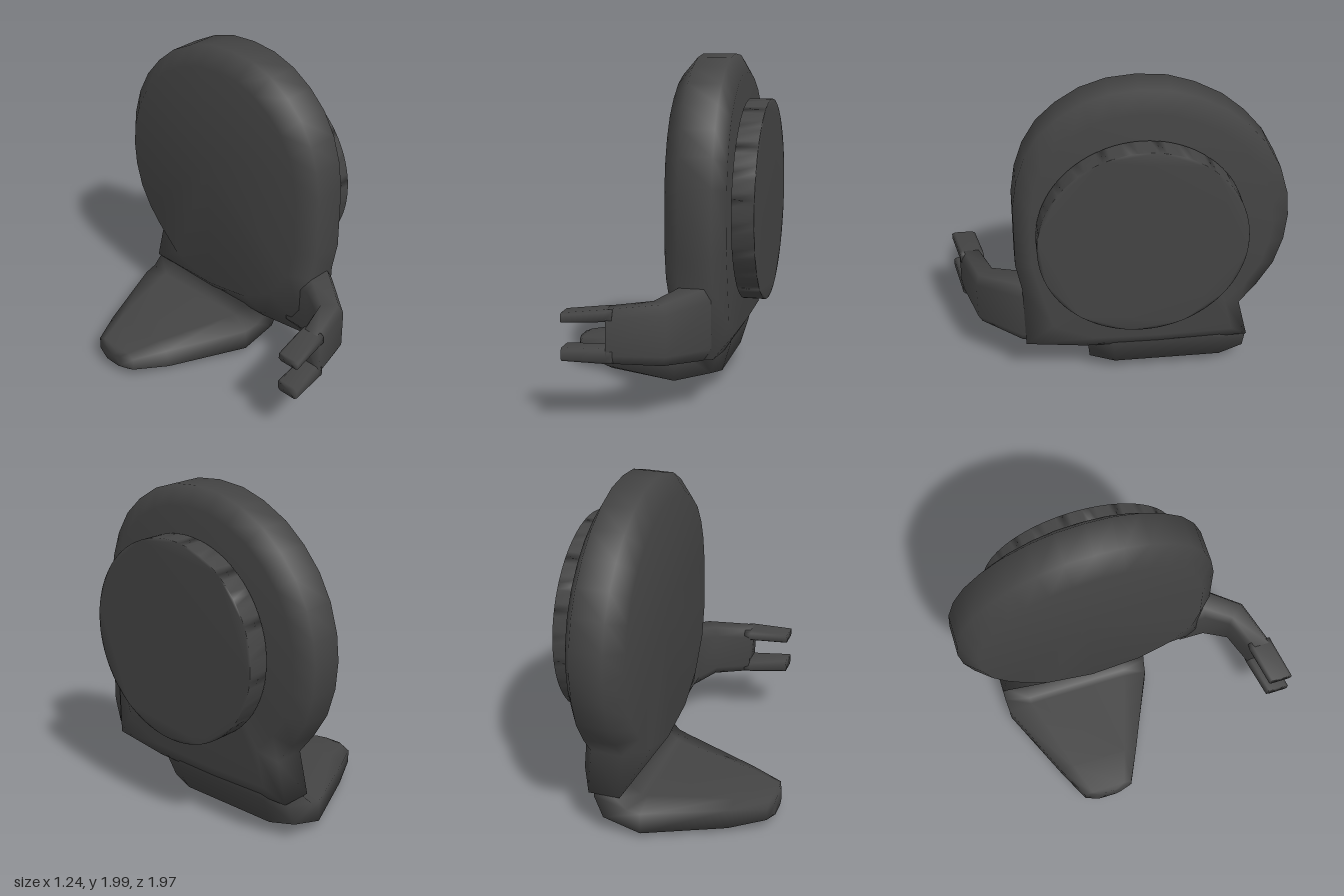
import * as THREE from 'three';
import { mergeVertices } from 'three/addons/utils/BufferGeometryUtils.js';

// Closed, smooth surface through equal-length rings of [x, y, z] points
function loft(rings) {
  const n = rings[0].length, pos = rings.flat(2), idx = [];
  const last = rings.length - 1;
  for (let r = 0; r < last; r++) {
    for (let i = 0; i < n; i++) {
      const j = (i + 1) % n, a = r * n, b = a + n;
      idx.push(a + i, a + j, b + j, a + i, b + j, b + i);
    }
  }
  // end caps fan out from each end ring's centre
  for (const [r, flip] of [[0, true], [last, false]]) {
    const c = pos.length / 3;
    for (let k = 0; k < 3; k++) pos.push(rings[r].reduce((s, p) => s + p[k], 0) / n);
    for (let i = 0; i < n; i++) {
      const p = r * n + i, q = r * n + (i + 1) % n;
      idx.push(...(flip ? [c, q, p] : [c, p, q]));
    }
  }
  // make the faces point outwards, judged by signed volume
  const at = i => new THREE.Vector3().fromArray(pos, i * 3);
  let volume = 0;
  for (let i = 0; i < idx.length; i += 3) {
    volume += at(idx[i]).dot(at(idx[i + 1]).cross(at(idx[i + 2])));
  }
  if (volume < 0) idx.reverse();
  const g = new THREE.BufferGeometry();
  g.setAttribute('position', new THREE.Float32BufferAttribute(pos, 3));
  g.setIndex(idx);
  g.computeVertexNormals();
  return g;
}

// Eight-sided section between points A and B, running from lo to hi across
function section([ax, ay, bx, by, lo, hi], place, pinch = 0.18, edge = 0.16) {
  const e = (hi - lo) * edge;
  return [[pinch, lo], [0, lo + e], [0, hi - e], [pinch, hi],
    [1 - pinch, hi], [1, hi - e], [1, lo + e], [1 - pinch, lo]]
    .map(([t, w]) => place(ax + (bx - ax) * t, ay + (by - ay) * t, w));
}
const acrossZ = (x, y, w) => [x, y, w];
const acrossY = (x, z, w) => [x, w, z];

// Round smooth-shaded disc facing x
function disc(radius, x0, x1) {
  const shape = new THREE.Shape().absarc(0, 0, radius, 0, Math.PI * 2);
  const g = new THREE.ExtrudeGeometry(shape, { depth: x1 - x0, bevelEnabled: false, curveSegments: 48 });
  g.deleteAttribute('uv');
  g.deleteAttribute('normal');
  const smooth = mergeVertices(g, 1e-4);
  smooth.rotateY(Math.PI / 2);
  smooth.translate(x0, 1.135, -0.115);
  smooth.computeVertexNormals();
  return smooth;
}

export function createModel() {
  const model = new THREE.Group();
  model.name = 'model';
  const charcoal = new THREE.MeshStandardMaterial({ color: 0x444444 });
  charcoal.name = 'charcoal';
  const add = (name, geometry) => {
    const mesh = new THREE.Mesh(geometry, charcoal);
    mesh.name = name;
    model.add(mesh);
  };

  // Rounded body: [z, y] outline from lower back, over the top, to lower front
  const arch = [[-0.83, 0.65], [-0.92, 0.8], [-0.97, 0.97], [-0.985, 1.135], [-0.97, 1.29],
    [-0.92, 1.46], [-0.84, 1.61], [-0.73, 1.74], [-0.6, 1.85], [-0.44, 1.935], [-0.285, 1.985],
    [-0.11, 2], [0.055, 1.985], [0.205, 1.935], [0.34, 1.85], [0.45, 1.745], [0.53, 1.61],
    [0.58, 1.46], [0.605, 1.29], [0.605, 0.9]];
  const inset = arch.map(([z, y]) => [-0.16 + (z + 0.16) * 0.875, 1.13 + (y - 1.13) * 0.875]);
  const baseFull = [[0.57, 0.72], [0.56, 0.31], [0.2, 0.265], [-0.25, 0.26], [-0.79, 0.27], [-0.73, 0.52]];
  const baseInner = [[0.47, 0.75], [0.33, 0.55], [0.12, 0.42], [-0.2, 0.37], [-0.5, 0.46], [-0.67, 0.62]];
  const baseOuter = [[0.46, 0.72], [0.4, 0.48], [0.15, 0.37], [-0.25, 0.36], [-0.68, 0.37], [-0.63, 0.58]];
  const ring = (x, points) => points.map(([z, y]) => [x, y, z]);
  add('body', loft([
    ring(0.115, [...inset, ...baseInner]),
    ring(0.21, [...arch, ...baseFull]),
    ring(0.405, [...arch, ...baseFull]),
    ring(0.47, [...inset, ...baseOuter]),
  ]));

  // Foot: neck below the body, bending sideways into a tapered sole
  add('foot', loft([
    [0.16, 0.45, 0.45, 0.42, -0.72, 0.22],
    [0.2, 0.26, 0.41, 0.25, -0.79, 0.185],
    [0.13, 0.22, 0.36, 0.09, -0.79, 0.17],
    [0.09, 0.215, 0.09, 0.008, -0.785, 0.155],
    [-0.4, 0.205, -0.38, 0.008, -0.57, -0.06],
    [-0.595, 0.18, -0.595, 0.06, -0.47, -0.155],
    [-0.623, 0.175, -0.623, 0.065, -0.4, -0.24],
  ].map(s => section(s, acrossZ))));

  // Arm: sweeps forward from the body and round to the side
  add('arm', loft([
    [0.17, 0.42, 0.43, 0.42, 0.32, 0.7],
    [0.17, 0.58, 0.395, 0.58, 0.31, 0.72],
    [0.09, 0.72, 0.2, 0.84, 0.335, 0.68],
    [-0.115, 0.79, -0.115, 0.935, 0.355, 0.66],
  ].map(s => section(s, acrossY))));

  // Two prongs at the end of the arm
  for (const [name, y0, y1, tip0, tip1] of [
    ['upperProng', 0.59, 0.66, 0.585, 0.64],
    ['lowerProng', 0.355, 0.44, 0.37, 0.445],
  ]) {
    add(name, loft([
      [-0.08, 0.785, -0.08, 0.93, y0, y1],
      [-0.12, 0.79, -0.12, 0.935, y0, y1],
      [-0.355, 0.835, -0.355, 0.98, tip0, tip1],
    ].map(s => section(s, acrossY, 0.12, 0.2))));
  }

  // Round outer pad on a short connector
  add('padConnector', disc(0.335, 0.455, 0.5));
  add('pad', disc(0.6, 0.49, 0.62));
  return model;
}
